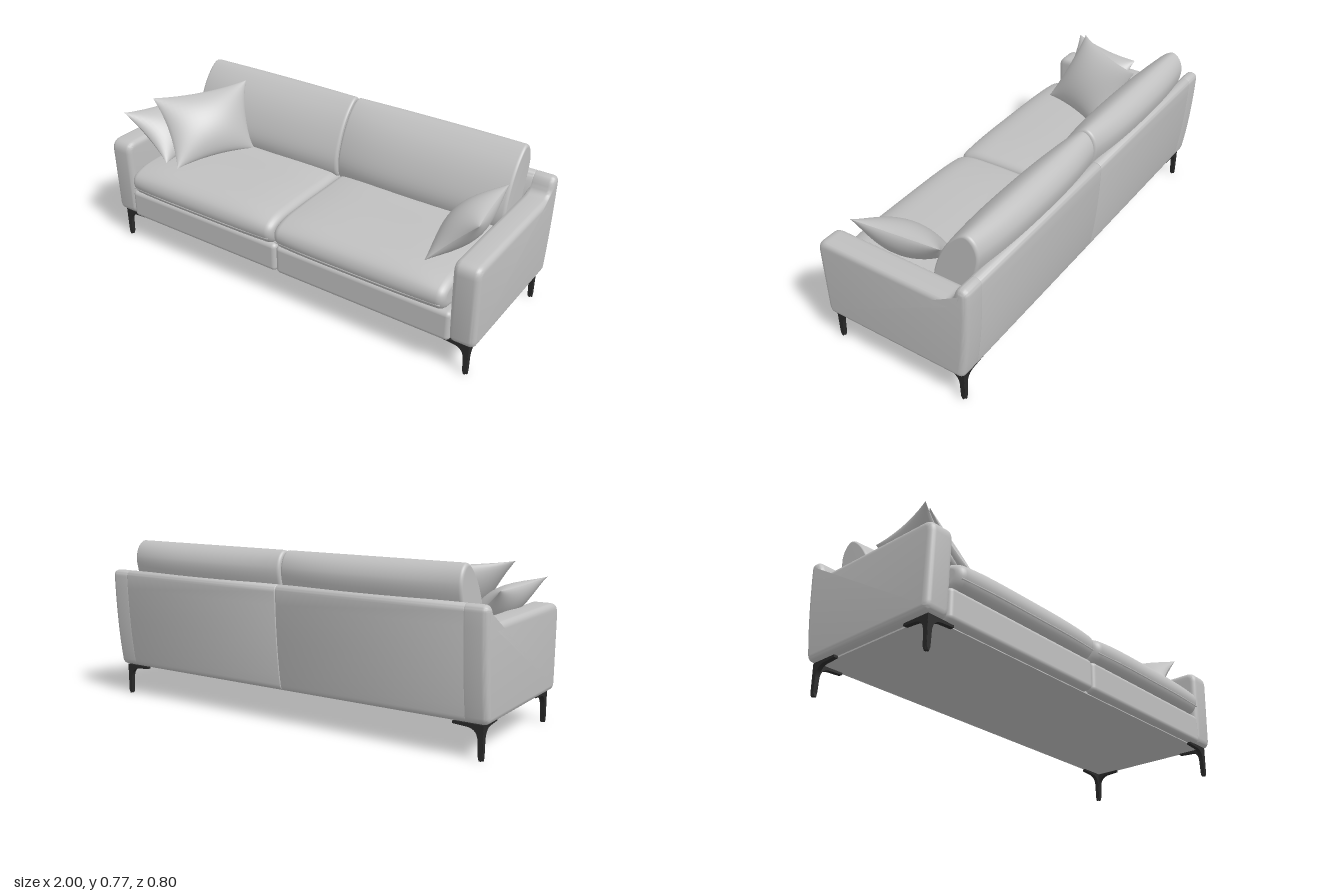
import * as THREE from 'three';
import { toCreasedNormals } from 'three/addons/utils/BufferGeometryUtils.js';
import { RoundedBoxGeometry } from 'three/addons/geometries/RoundedBoxGeometry.js';

const fabric = new THREE.MeshStandardMaterial({ color: 0xc0c0c0 });
fabric.name = 'grey fabric';
const metal = new THREE.MeshStandardMaterial({ color: 0x2a2a2a });
metal.name = 'black metal';

function add(parent, name, geometry, material = fabric) {
  const mesh = new THREE.Mesh(geometry, material);
  mesh.name = name;
  parent.add(mesh);
  return mesh;
}

function build(positions, indices) {
  const g = new THREE.BufferGeometry();
  g.setAttribute('position', new THREE.Float32BufferAttribute(positions, 3));
  g.setIndex(indices);
  g.computeVertexNormals();
  return g;
}

// Extrudes a (z, y) outline across x from x0 to x1 with rounded edges
function extrudeAcross(shape, x0, x1, bevel) {
  const g = new THREE.ExtrudeGeometry(shape, {
    depth: x1 - x0 - 2 * bevel, bevelThickness: bevel, bevelSize: bevel,
    bevelOffset: -bevel, bevelSegments: 5, curveSegments: 8,
  });
  g.rotateY(-Math.PI / 2);
  g.translate(x1 - bevel, 0, 0);
  return toCreasedNormals(g, 0.6);
}

// Lofts a closed (z, y) section from x0 to x1; ends are rounded by radius r
function cushion(points, x0, x1, r, deform) {
  const curve = new THREE.CatmullRomCurve3(points.map(([z, y]) => new THREE.Vector3(0, y, z)), true);
  const ring = curve.getPoints(56).slice(0, -1);
  const box = new THREE.Box3().setFromPoints(ring);
  const mid = box.getCenter(new THREE.Vector3()), half = box.getSize(new THREE.Vector3()).multiplyScalar(0.5);
  const n = ring.length, stations = [];
  for (let i = 0; i <= 6; i++) {
    const a = (i / 6) * Math.PI / 2;
    stations.push([x0 + r * (1 - Math.cos(a)), r * (1 - Math.sin(a))]);
  }
  for (let i = 1; i < 16; i++) stations.push([x0 + r + (x1 - x0 - 2 * r) * i / 16, 0]);
  for (let i = 6; i >= 0; i--) stations.push([x0 + x1 - stations[i][0], stations[i][1]]);
  const pos = [], idx = [];
  stations.forEach(([x, inset], s) => {
    const u = (2 * x - x0 - x1) / (x1 - x0);
    ring.forEach((p, j) => {
      const [z, y] = deform(p.z, p.y, u);
      pos.push(x, mid.y + (y - mid.y) * (1 - inset / half.y), mid.z + (z - mid.z) * (1 - inset / half.z));
      if (s === stations.length - 1) return;
      const a = s * n + j, b = s * n + (j + 1) % n;
      idx.push(a, b, b + n, a, b + n, a + n);
    });
  });
  const last = (stations.length - 1) * n, c = pos.length / 3;
  pos.push(x0, mid.y, mid.z, x1, mid.y, mid.z);
  for (let j = 0; j < n; j++) {
    const k = (j + 1) % n;
    idx.push(c, k, j, c + 1, last + j, last + k);
  }
  return build(pos, idx);
}

// Throw pillow stretched between four corners, pinched along its edges
function pillow(corners, thickness) {
  const [bl, br, tl, tr] = corners.map((c) => new THREE.Vector3(...c));
  const normal = br.clone().add(tr).sub(bl).sub(tl)
    .cross(tl.clone().add(tr).sub(bl).sub(br)).normalize();
  const N = 20, pos = [], idx = [];
  for (const side of [1, -1]) {
    const base = pos.length / 3;
    for (let j = 0; j <= N; j++) for (let i = 0; i <= N; i++) {
      const u = Math.sin((i / N - 0.5) * Math.PI), v = Math.sin((j / N - 0.5) * Math.PI);
      const pu = u * (1 - 0.1 * (1 - v * v)), pv = v * (1 - 0.1 * (1 - u * u));
      const low = bl.clone().lerp(br, (pu + 1) / 2), high = tl.clone().lerp(tr, (pu + 1) / 2);
      const bulge = thickness / 2 * Math.pow(Math.max(0, (1 - u * u) * (1 - v * v)), 0.6);
      const p = low.lerp(high, (pv + 1) / 2).addScaledVector(normal, side * bulge);
      pos.push(p.x, p.y, p.z);
      if (i === N || j === N) continue;
      const a = base + j * (N + 1) + i, b = a + 1, c = b + N + 1, d = a + N + 1;
      if (side > 0) idx.push(a, b, c, a, c, d);
      else idx.push(a, c, b, a, d, c);
    }
  }
  return build(pos, idx);
}

// Back edge shared by the arm and backrest outlines
function backEdge(s) {
  s.quadraticCurveTo(-0.345, 0.63, -0.368, 0.63);
  s.quadraticCurveTo(-0.4, 0.63, -0.4, 0.6);
  s.quadraticCurveTo(-0.395, 0.36, -0.365, 0.18);
  s.quadraticCurveTo(-0.36, 0.15, -0.335, 0.15);
}

function armShape() {
  const s = new THREE.Shape();
  s.moveTo(0.325, 0.15);
  s.quadraticCurveTo(0.354, 0.15, 0.357, 0.19);
  s.lineTo(0.364, 0.49);
  s.quadraticCurveTo(0.364, 0.545, 0.31, 0.545);
  s.lineTo(-0.285, 0.545);
  s.quadraticCurveTo(-0.322, 0.545, -0.332, 0.59);
  backEdge(s);
  s.closePath();
  return s;
}

function backShape() {
  const s = new THREE.Shape();
  s.moveTo(-0.29, 0.15);
  s.lineTo(-0.31, 0.5);
  s.lineTo(-0.332, 0.59);
  backEdge(s);
  s.closePath();
  return s;
}

// Corner leg: two curved brackets meeting at a slim post
function makeLeg() {
  const s = new THREE.Shape();
  s.moveTo(0, 0.148);
  s.lineTo(0.002, 0.015);
  s.lineTo(0.007, 0);
  s.lineTo(0.015, 0);
  s.lineTo(0.02, 0.015);
  s.lineTo(0.023, 0.08);
  s.quadraticCurveTo(0.026, 0.131, 0.075, 0.133);
  s.lineTo(0.135, 0.137);
  s.lineTo(0.135, 0.148);
  s.closePath();
  const g = new THREE.ExtrudeGeometry(s, { depth: 0.02, bevelEnabled: false, curveSegments: 10 });
  const leg = new THREE.Group();
  add(leg, 'legSideBracket', toCreasedNormals(g.clone().rotateY(Math.PI), 0.6), metal);
  add(leg, 'legDepthBracket', toCreasedNormals(g.clone().rotateY(Math.PI / 2).translate(-0.02, 0, 0), 0.6), metal);
  return leg;
}

export function createModel() {
  const sofa = new THREE.Group();
  sofa.name = 'sofa';

  const seatSection = [[0, 0.452], [0.2, 0.45], [0.32, 0.437], [0.382, 0.4], [0.397, 0.35], [0.37, 0.3],
    [0.3, 0.285], [0, 0.285], [-0.22, 0.285], [-0.25, 0.36], [-0.2, 0.44]];
  const backSection = [[-0.305, 0.775], [-0.22, 0.725], [-0.145, 0.625], [-0.105, 0.5], [-0.13, 0.42],
    [-0.2, 0.41], [-0.3, 0.43], [-0.355, 0.56], [-0.388, 0.69], [-0.36, 0.75]];
  // Seat tops sag to the ends; back cushions grow thinner there
  const seatForm = (z, y, u) => [z - 0.01 * u ** 4, y - (y > 0.37 ? (y - 0.37) * 0.3 * u ** 4 : 0)];
  const backForm = (z, y, u) => {
    const axis = -0.22 - 0.085 * (y - 0.42) / 0.355;
    return [axis + (z - axis) * (1 - 0.24 * Math.abs(u) ** 2.5), y];
  };

  for (const side of [-1, 1]) {
    const name = side > 0 ? 'left' : 'right';
    const span = (a, b) => (side > 0 ? [a, b] : [-b, -a]);

    // Frame
    add(sofa, name + 'Arm', extrudeAcross(armShape(), ...span(0.88, 1), 0.026));
    add(sofa, name + 'Backrest', extrudeAcross(backShape(), ...span(0.0005, 0.902), 0.005));
    add(sofa, name + 'Base', new RoundedBoxGeometry(0.888, 0.145, 0.7, 4, 0.022))
      .position.set(side * 0.4445, 0.2195, 0.013);

    // Cushions and the piping along the seat front
    add(sofa, name + 'SeatCushion', cushion(seatSection, ...span(0.004, 0.864), 0.035, seatForm));
    add(sofa, name + 'BackCushion', cushion(backSection, ...span(0.003, 0.872), 0.014, backForm));
    const path = new THREE.CatmullRomCurve3([0.02, 0.2, 0.43, 0.66, 0.85].map((x) => {
      const u = (x - 0.434) / 0.43;
      return new THREE.Vector3(side * x, 0.33, 0.391 - 0.011 * u ** 4);
    }));
    add(sofa, name + 'SeatPiping', new THREE.TubeGeometry(path, 24, 0.004, 6));

    // Legs
    for (const front of [-1, 1]) {
      const leg = makeLeg();
      leg.name = name + (front > 0 ? 'FrontLeg' : 'BackLeg');
      leg.position.set(side * 0.972, 0, front * 0.345 - 0.008 * (front > 0 ? 1 : 0));
      leg.rotation.y = side > 0 ? (front > 0 ? 0 : Math.PI / 2) : (front > 0 ? -Math.PI / 2 : Math.PI);
      sofa.add(leg);
    }
  }

  // Underside panel
  add(sofa, 'undersidePanel', new THREE.BoxGeometry(1.9, 0.012, 0.64)).position.set(0, 0.149, 0);

  // Throw pillows: bottom pair of corners, then top pair
  add(sofa, 'largeThrowPillow', pillow([[-0.65, 0.45, 0.275], [-0.485, 0.45, -0.11],
    [-0.86, 0.735, 0.19], [-0.615, 0.745, -0.225]], 0.14));
  add(sofa, 'rightThrowPillow', pillow([[-0.73, 0.45, 0.265], [-0.72, 0.45, -0.08],
    [-0.97, 0.665, 0.285], [-0.91, 0.64, -0.08]], 0.13));
  add(sofa, 'leftThrowPillow', pillow([[0.66, 0.445, -0.1], [0.715, 0.445, 0.285],
    [0.865, 0.645, -0.175], [0.92, 0.655, 0.235]], 0.15));

  return sofa;
}
